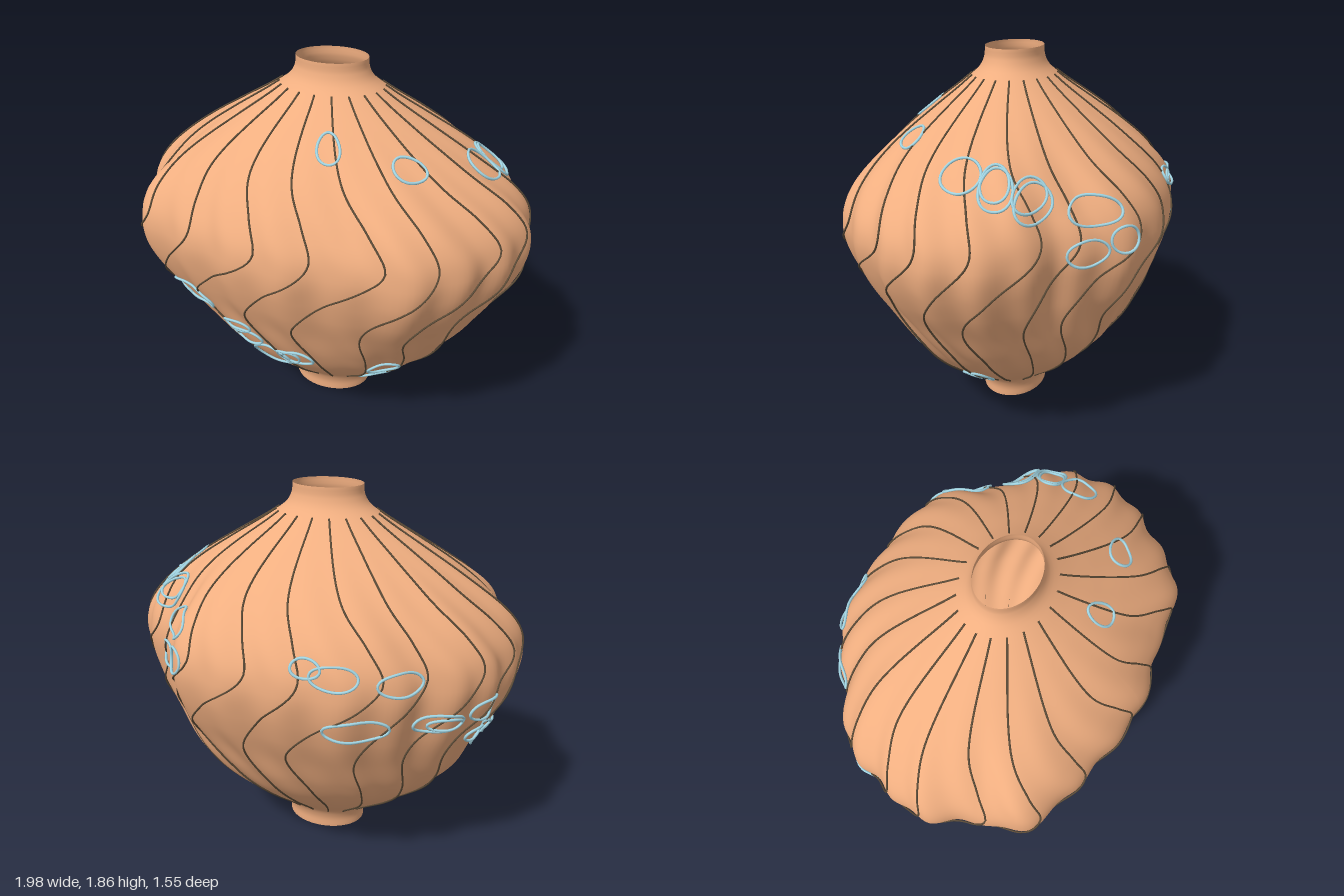
import * as THREE from 'three';
import { ParametricGeometry } from 'three/addons/geometries/ParametricGeometry.js';

const HEIGHT = 1.86;
const { smoothstep, clamp, euclideanModulo } = THREE.MathUtils;
const curveOf = (at, vals) => {
  const c = new THREE.CubicInterpolant(at, vals, 1);
  return (t) => c.evaluate(t)[0];
};

// half width of the vase by height
const radius = curveOf(
  [0, 0.06, 0.12, 0.2, 0.3, 0.42, 0.55, 0.7, 0.85, 1.0, 1.1, 1.2, 1.3, 1.4, 1.5, 1.6, 1.7, 1.76, 1.81, 1.86],
  [0.21, 0.215, 0.25, 0.36, 0.5, 0.635, 0.735, 0.825, 0.91, 0.965, 0.975, 0.95, 0.88, 0.77, 0.63, 0.465, 0.295, 0.21, 0.18, 0.175]);
// uneven bulges and dents around the belly, by angle
const girth = curveOf(
  [-0.84, -0.53, 0, 0.35, 0.62, 0.94, 1.26, 1.57, 1.91, 2.21, 2.37, 2.63, 3.0, 3.57, 3.95, 4.17, 4.54, 4.82, 5.2, 5.44, 5.75, 6.283],
  [1.08, 1.01, 0.985, 0.97, 1.05, 1.025, 1.02, 1.01, 0.99, 0.895, 0.915, 1.01, 1.0, 0.99, 0.945, 0.975, 0.97, 1.0, 0.99, 1.08, 1.01, 0.985]);
// sideways S bend of the drawn lines, in radians
const sway = curveOf(
  [0.13, 0.32, 0.52, 0.75, 0.95, 1.15, 1.3, 1.45, 1.73],
  [0, -0.02, -0.11, -0.2, -0.04, 0.2, 0.16, 0.06, 0]);

// point on the fluted skin; angle 0 faces the front
function skin(angle, y, lift, target) {
  const belly = smoothstep(y, 0.1, 0.6) * (1 - smoothstep(y, 1.25, 1.74));
  const waist = smoothstep(y, 0.45, 1.0) * (1 - smoothstep(y, 1.25, 1.65));
  const phase = angle - 0.45 * (1 - y) - 0.4 * sway(clamp(y, 0.13, 1.73));
  const flute = 0.013 * Math.sin(22 * phase) + 0.008 * Math.sin(9 * phase + 1);
  const bulge = 1 + (girth(euclideanModulo(angle, Math.PI * 2)) - 1) * waist;
  const r = radius(y) * bulge * (1 + flute * belly) + lift;
  const shift = 0.03 * (1 - 0.7 * belly);
  return target.set(r * Math.sin(angle), y, r * 0.785 * Math.cos(angle) + shift);
}

function tube(points, thickness, closed, material, name) {
  const path = new THREE.CatmullRomCurve3(points, closed);
  const mesh = new THREE.Mesh(new THREE.TubeGeometry(path, closed ? 36 : 90, thickness, 6, closed), material);
  mesh.name = name;
  return mesh;
}

// rings lying on the skin: angle, height, half width, half height
const RINGS = [
  // front, upper
  [0.29, 1.57, 0.05, 0.05], [0.88, 1.5, 0.07, 0.04],
  // front, lower chain
  [-0.63, 0.74, 0.14, 0.06], [-1.05, 0.71, 0.09, 0.05], [-0.9, 0.67, 0.13, 0.075],
  [-0.36, 0.62, 0.075, 0.035], [-0.35, 0.55, 0.105, 0.05], [-0.17, 0.44, 0.1, 0.075],
  [-0.02, 0.48, 0.06, 0.05], [0.06, 0.49, 0.08, 0.05],
  // lower left side
  [0.72, 0.43, 0.075, 0.05], [0.88, 0.25, 0.085, 0.045],
  [1.54, 0.3, 0.07, 0.08], [1.45, 0.29, 0.04, 0.04],
  // upper left side
  [1.6, 1.43, 0.085, 0.055], [1.86, 1.39, 0.07, 0.07], [1.85, 1.41, 0.06, 0.06],
  [2.1, 1.33, 0.09, 0.07], [2.08, 1.36, 0.08, 0.06],
  [2.47, 1.27, 0.13, 0.06], [2.41, 1.1, 0.11, 0.06], [2.62, 1.14, 0.07, 0.06],
  // back
  [3.34, 1.23, 0.065, 0.04], [3.47, 1.2, 0.105, 0.05], [3.8, 1.16, 0.115, 0.05],
  [3.58, 0.95, 0.15, 0.055], [4.03, 0.94, 0.12, 0.045], [4.07, 0.93, 0.08, 0.03],
  // right side
  [4.36, 0.96, 0.11, 0.055], [4.36, 0.81, 0.06, 0.04], [4.52, 0.76, 0.1, 0.05], [4.72, 0.74, 0.06, 0.04],
];

export function createModel() {
  const group = new THREE.Group();
  group.name = 'flutedVase';
  const clay = new THREE.MeshStandardMaterial({ color: 0xf0ae80, side: THREE.DoubleSide });
  const dark = new THREE.MeshStandardMaterial({ color: 0x5c4c38 });
  const blue = new THREE.MeshStandardMaterial({ color: 0xa4d8e6 });

  // thin shell, open at both ends
  const shell = new THREE.Mesh(
    new ParametricGeometry((u, v, p) => skin(u * Math.PI * 2, v * HEIGHT, 0, p), 220, 110), clay);
  shell.name = 'vaseBody';
  group.add(shell);

  // swaying lines from foot to neck
  const lines = new THREE.Group();
  lines.name = 'surfaceLines';
  const COUNT = 20;
  for (let i = 0; i < COUNT; i++) {
    const start = (i / COUNT) * Math.PI * 2;
    const swing = 1 + 0.2 * Math.sin(i * 2.4);
    const points = [];
    for (let k = 0; k <= 40; k++) {
      const y = 0.13 + 1.6 * (k / 40);
      points.push(skin(start + swing * sway(y), y, 0.007, new THREE.Vector3()));
    }
    lines.add(tube(points, 0.0045, false, dark, 'surfaceLine'));
  }
  group.add(lines);

  // loose rings draped on the skin
  const rings = new THREE.Group();
  rings.name = 'rings';
  for (const [angle, y, halfWidth, halfHeight] of RINGS) {
    // arc length per radian on the oval section
    const reach = radius(y) * Math.hypot(Math.cos(angle), 0.785 * Math.sin(angle));
    const points = [];
    for (let k = 0; k < 18; k++) {
      const t = (k / 18) * Math.PI * 2;
      points.push(skin(angle + (halfWidth / reach) * Math.cos(t), y + halfHeight * Math.sin(t), 0.01, new THREE.Vector3()));
    }
    rings.add(tube(points, 0.0065, true, blue, 'ring'));
  }
  group.add(rings);
  return group;
}
